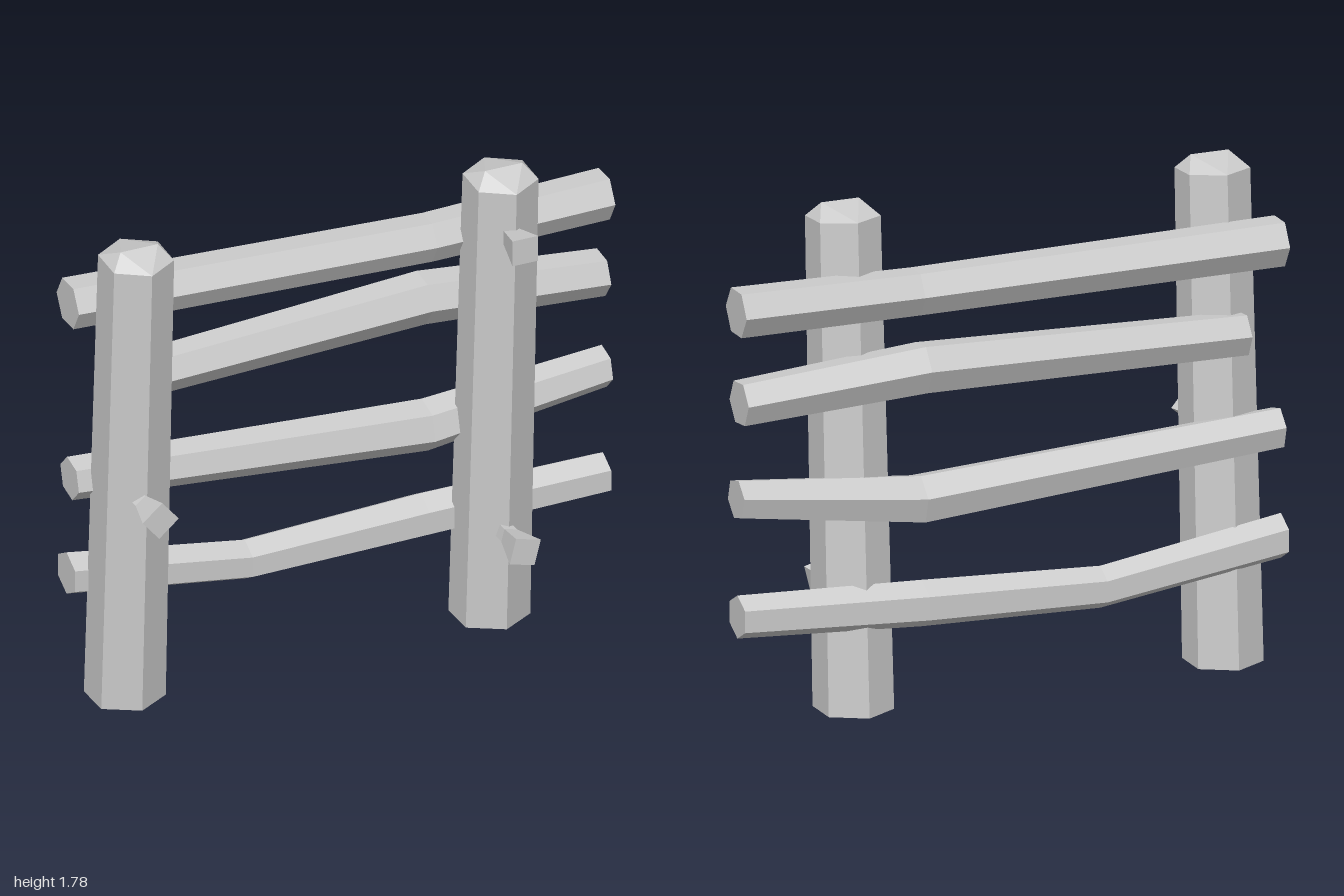
import * as THREE from 'three';
import { ConvexGeometry } from 'three/addons/geometries/ConvexGeometry.js';

const material = new THREE.MeshStandardMaterial({ color: 0xcccccc, flatShading: true, side: THREE.DoubleSide });

function addMesh(parent, geometry, name) {
  const mesh = new THREE.Mesh(geometry, material);
  mesh.name = name;
  parent.add(mesh);
  return mesh;
}

// Triangles joining successive rings of points, with optional end caps
function loft(rings, capped) {
  const pos = [];
  const tri = (...pts) => pts.forEach((p) => pos.push(p.x, p.y, p.z));
  const n = rings[0].length;
  for (let i = 0; i < rings.length - 1; i++) {
    for (let j = 0; j < n; j++) {
      const k = (j + 1) % n;
      const a = rings[i][j], b = rings[i][k], c = rings[i + 1][k], d = rings[i + 1][j];
      tri(a, b, c);
      tri(a, c, d);
    }
  }
  if (capped) {
    const last = rings[rings.length - 1];
    for (let j = 1; j < n - 1; j++) {
      tri(rings[0][0], rings[0][j + 1], rings[0][j]);
      tri(last[0], last[j], last[j + 1]);
    }
  }
  const geometry = new THREE.BufferGeometry();
  geometry.setAttribute('position', new THREE.Float32BufferAttribute(pos, 3));
  geometry.computeVertexNormals();
  return geometry;
}

const hexAngles = [0, 1, 2, 3, 4, 5].map((i) => (i * Math.PI) / 3);

// Leaning hexagonal post, open underneath, with a chamfered top
function makePost(x, name) {
  const post = new THREE.Group();
  post.name = name;
  const ring = (y, z, r, tilt) => hexAngles.map((a) => new THREE.Vector3(
    Math.sin(a) * r, y - Math.cos(a) * r * tilt, z + Math.cos(a) * r));
  const rim = ring(1.73, 0.03, 0.13, 0.07);
  addMesh(post, loft([ring(0, -0.06, 0.14, 0), rim], false), 'postShaft');
  const crown = [-0.07, 0.07].map((cx) => new THREE.Vector3(cx, 1.778, 0.055));
  addMesh(post, new ConvexGeometry([...rim, ...crown]), 'postCap');
  post.position.x = x;
  return post;
}

// Crooked hexagonal rail through the stations [x, y, z, radius]
function makeRail(stations, twist) {
  const rings = stations.map(([x, y, z, r]) => hexAngles.map((a) => new THREE.Vector3(
    x, y + Math.sin(a + twist) * r, z - Math.cos(a + twist) * r)));
  return loft(rings.map((ring) => ring.reverse()), true);
}

// Square peg that flares towards its head
function makePeg() {
  const geometry = new THREE.CylinderGeometry(0.068, 0.034, 0.13, 4);
  geometry.rotateY(Math.PI / 4);
  geometry.rotateX(Math.PI / 2);
  return geometry;
}

export function createModel() {
  const fence = new THREE.Group();
  fence.name = 'fence';
  fence.add(makePost(-0.83, 'rightPost'), makePost(0.54, 'leftPost'));

  // Rails, top to bottom
  const rails = [
    { twist: 0, stations: [[-1, 1.5, -0.155, 0.09], [0.33, 1.473, -0.11, 0.085], [1, 1.483, -0.12, 0.09]] },
    { twist: 0.1, stations: [[-0.88, 1.175, -0.12, 0.08], [0.33, 1.215, -0.16, 0.093], [1, 1.167, -0.145, 0.083]] },
    { twist: 0.25, stations: [[-1, 0.83, -0.14, 0.077], [0.33, 0.738, -0.13, 0.092], [1, 0.817, -0.12, 0.074]] },
    { twist: Math.PI / 6, stations: [[-1, 0.452, -0.165, 0.08], [-0.33, 0.352, -0.165, 0.075], [0.33, 0.375, -0.16, 0.083], [1, 0.4, -0.13, 0.077]] },
  ];
  rails.forEach(({ stations, twist }, i) => addMesh(fence, makeRail(stations, twist), `rail${i + 1}`));

  // Pegs: x, y, roll
  [[0.53, 1.55, 0], [-0.84, 0.82, 0.7], [0.53, 0.385, -0.25]].forEach(([x, y, roll], i) => {
    const peg = addMesh(fence, makePeg(), `peg${i + 1}`);
    peg.position.set(x, y, 0.185);
    peg.rotation.z = roll;
    // Shank that reaches into the post
    const shank = addMesh(peg, new THREE.BoxGeometry(0.048, 0.048, 0.1), 'pegShank');
    shank.position.z = -0.1;
  });
  return fence;
}
